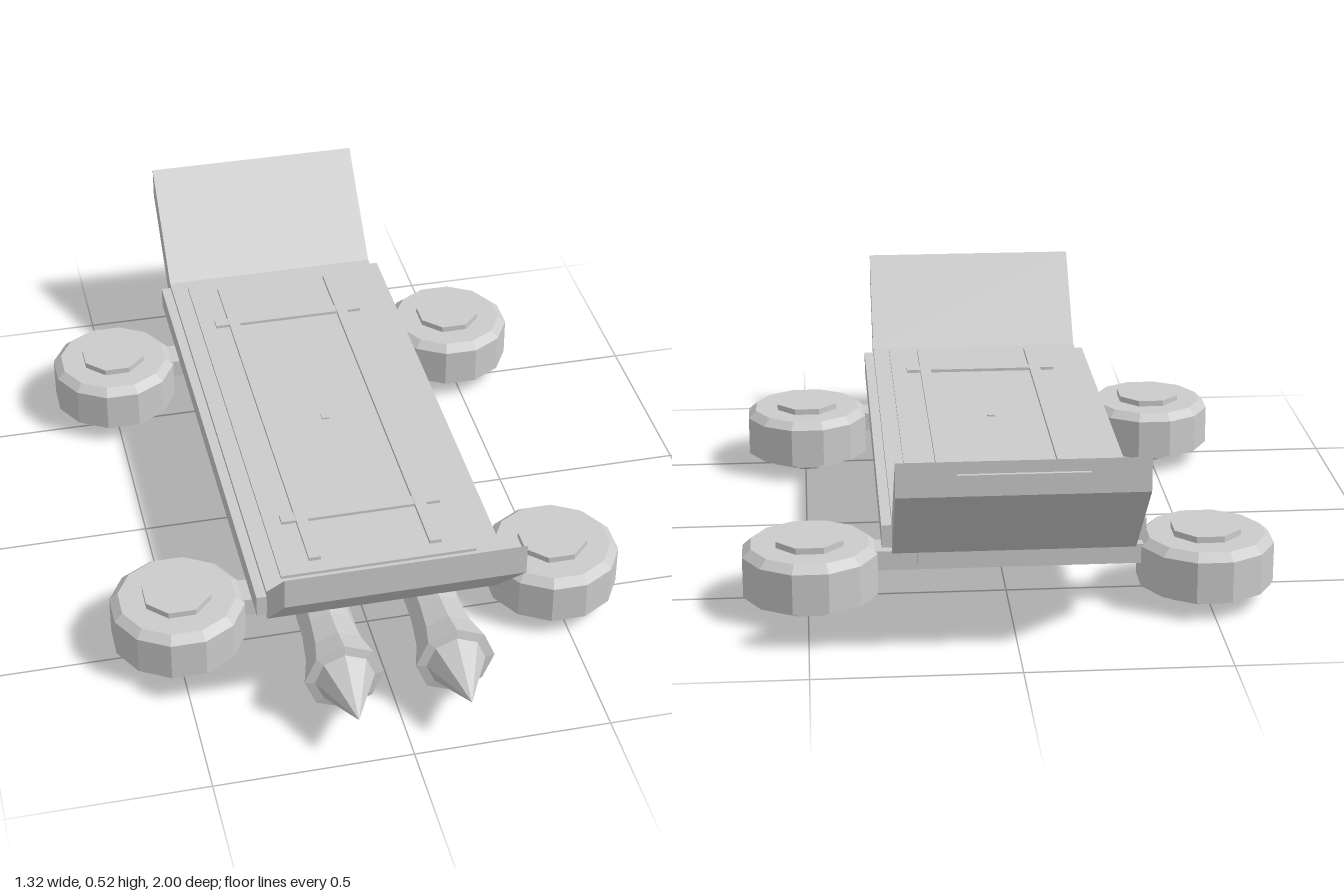
import * as THREE from 'three';

const grey = new THREE.MeshStandardMaterial({ color: 0xcccccc, flatShading: true });

function add(parent, name, geometry, x = 0, y = 0, z = 0) {
  const mesh = new THREE.Mesh(geometry, grey);
  mesh.name = name;
  mesh.position.set(x, y, z);
  parent.add(mesh);
  return mesh;
}

// Box given by its limits on y, centred on x and z
function slab(parent, name, w, y0, y1, d, x = 0, z = 0) {
  return add(parent, name, new THREE.BoxGeometry(w, y1 - y0, d), x, (y0 + y1) / 2, z);
}

// Faceted solid of revolution from [radius, height] pairs
function turned(profile, sides, phase = 0) {
  const points = profile.map(([r, h]) => new THREE.Vector2(r, h));
  return new THREE.LatheGeometry(points, sides, phase);
}

// Deck with kicked-up nose and tail, as a side profile (z, y) extruded across x
function deckGeometry(width) {
  const shape = new THREE.Shape([
    [0.885, 0.43], [0.885, 0.512], [0.66, 0.29], [-0.74, 0.29],
    [-0.99, 0.525], [-0.99, 0.44], [-0.745, 0.207], [0.665, 0.207],
  ].map(([z, y]) => new THREE.Vector2(-z, y)));
  const geometry = new THREE.ExtrudeGeometry(shape, { depth: width, bevelEnabled: false });
  geometry.translate(0, 0, -width / 2);
  geometry.rotateY(Math.PI / 2);
  return geometry;
}

function createWheel(x, z) {
  const wheel = new THREE.Group();
  wheel.name = 'wheel';
  wheel.position.set(x, 0, z);
  // Tyre with a bevelled top edge
  add(wheel, 'tyre', turned(
    [[0, 0.05], [0.172, 0.05], [0.172, 0.155], [0.15, 0.175], [0, 0.175]], 12, Math.PI / 12));
  // Stepped hub below and a cap on top
  add(wheel, 'hubRing', turned(
    [[0, 0.03], [0.13, 0.03], [0.13, 0.05]], 12, Math.PI / 12));
  add(wheel, 'hub', turned(
    [[0, 0], [0.057, 0], [0.09, 0.03]], 8, Math.PI / 8));
  add(wheel, 'cap', turned(
    [[0.09, 0.17], [0.09, 0.191], [0, 0.191]], 8, Math.PI / 8));
  return wheel;
}

function createRocket(x) {
  const rocket = new THREE.Group();
  rocket.name = 'rocket';
  rocket.position.set(x, 0.143, 0);
  // Flared body and pointed tip, turned to face forwards
  const body = turned(
    [[0, 0.5], [0.068, 0.5], [0.07, 0.68], [0.08, 0.77], [0.1, 0.845], [0.075, 0.85]], 8);
  const tip = turned([[0.075, 0.85], [0, 1]], 8);
  add(rocket, 'rocketBody', body.rotateX(Math.PI / 2));
  add(rocket, 'rocketTip', tip.rotateX(Math.PI / 2));
  return rocket;
}

export function createModel() {
  const model = new THREE.Group();
  model.name = 'hoverBoard';

  add(model, 'deck', deckGeometry(0.59));
  slab(model, 'topPanel', 0.5, 0.28, 0.298, 1.32, 0, -0.04);
  slab(model, 'centreStud', 0.02, 0.29, 0.303, 0.02);
  slab(model, 'tailSlot', 0.31, 0.465, 0.495, 0.02, 0, -0.99);

  // Parts on both sides
  for (const side of [-1, 1]) {
    slab(model, 'sideRail', 0.035, 0.22, 0.277, 1.4, side * 0.303, -0.037);
    slab(model, 'gripRail', 0.03, 0.29, 0.308, 1.235, side * 0.155, -0.04);
    model.add(createRocket(side * 0.14));
  }

  // Cross strips on the top panel
  for (const z of [-0.49, 0.407]) slab(model, 'crossStrip', 0.415, 0.29, 0.306, 0.032, 0, z);

  // Axle, mounting block and wheels at each end
  for (const z of [-0.573, 0.492]) {
    slab(model, 'axle', 0.7, 0.11, 0.16, 0.08, 0, z);
    slab(model, 'mountingBlock', 0.46, 0.13, 0.215, 0.15, 0, z);
    for (const side of [-1, 1]) model.add(createWheel(side * 0.493, z));
  }
  return model;
}
